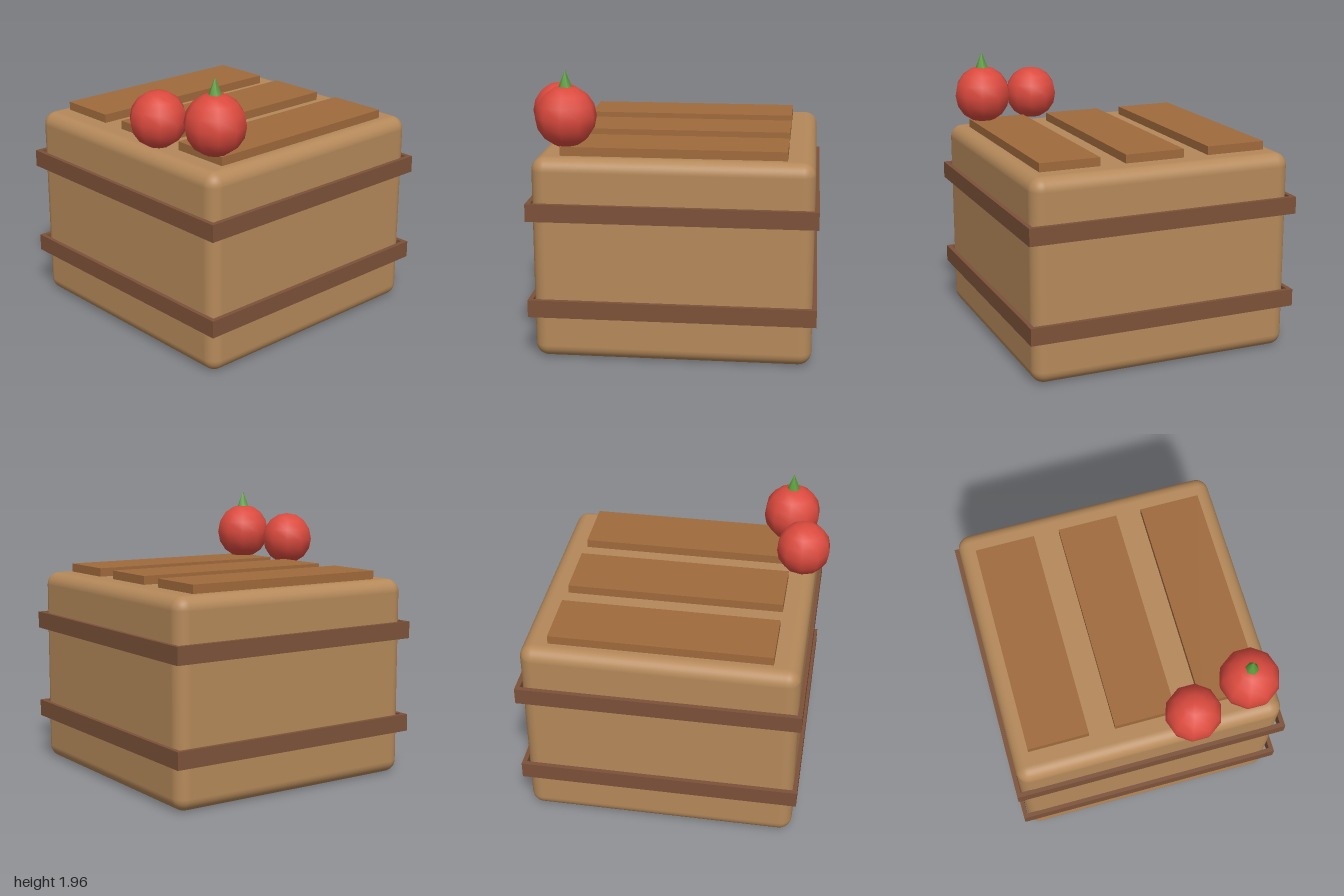
import * as THREE from 'three';
import { RoundedBoxGeometry } from 'three/addons/geometries/RoundedBoxGeometry.js';

const paint = (color) => new THREE.MeshStandardMaterial({ color });
const wood = paint(0xb5895a);
const plankWood = paint(0xa06a3c);
const bandWood = paint(0x7d5239);
const red = paint(0xdb4a3e);
const green = paint(0x5a9a3c);

const CENTRE_Z = -0.03;

function part(parent, name, geometry, material, x, y, z) {
  const mesh = new THREE.Mesh(geometry, material);
  mesh.name = name;
  mesh.position.set(x, y, z);
  parent.add(mesh);
  return mesh;
}

// Corner points of a rectangle centred on the origin
function rectangle(w, h) {
  return [[-1, -1], [1, -1], [1, 1], [-1, 1]].map(([a, b]) => new THREE.Vector2(a * w / 2, b * h / 2));
}

// Square hoop lying flat, its base at y = 0
function bandGeometry(outer, inner, height) {
  const shape = new THREE.Shape(rectangle(outer, outer));
  shape.holes.push(new THREE.Path(rectangle(inner, inner).reverse()));
  const geometry = new THREE.ExtrudeGeometry(shape, { depth: height, bevelEnabled: false });
  return geometry.rotateX(-Math.PI / 2);
}

function fruit(radius, x, y, z) {
  const group = new THREE.Group();
  group.name = 'fruit';
  group.position.set(x, y, z);
  part(group, 'fruitBody', new THREE.SphereGeometry(radius, 10, 8), red, 0, 0, 0);
  return group;
}

export function createModel() {
  const model = new THREE.Group();
  model.name = 'fruitCrate';

  // Rounded crate body
  part(model, 'crateBody', new RoundedBoxGeometry(1.87, 1.395, 1.88, 5, 0.09), wood, 0, 0.6975, CENTRE_Z);

  // Hoops around the crate
  for (const y of [0.305, 0.975]) {
    part(model, 'band', bandGeometry(1.938, 1.875, 0.12), bandWood, 0, y, CENTRE_Z);
  }

  // Lid planks
  for (const x of [-0.607, 0, 0.607]) {
    part(model, 'lidPlank', new THREE.BoxGeometry(0.425, 0.08, 1.51), plankWood, x, 1.415, CENTRE_Z);
  }

  // Two fruits at the front left corner, one with a stem
  model.add(fruit(0.193, 0.3, 1.607, 0.815));
  const stemmed = fruit(0.207, 0.722, 1.643, 0.695);
  part(stemmed, 'stem', new THREE.ConeGeometry(0.048, 0.12, 6), green, 0, 0.252, 0);
  model.add(stemmed);

  return model;
}
